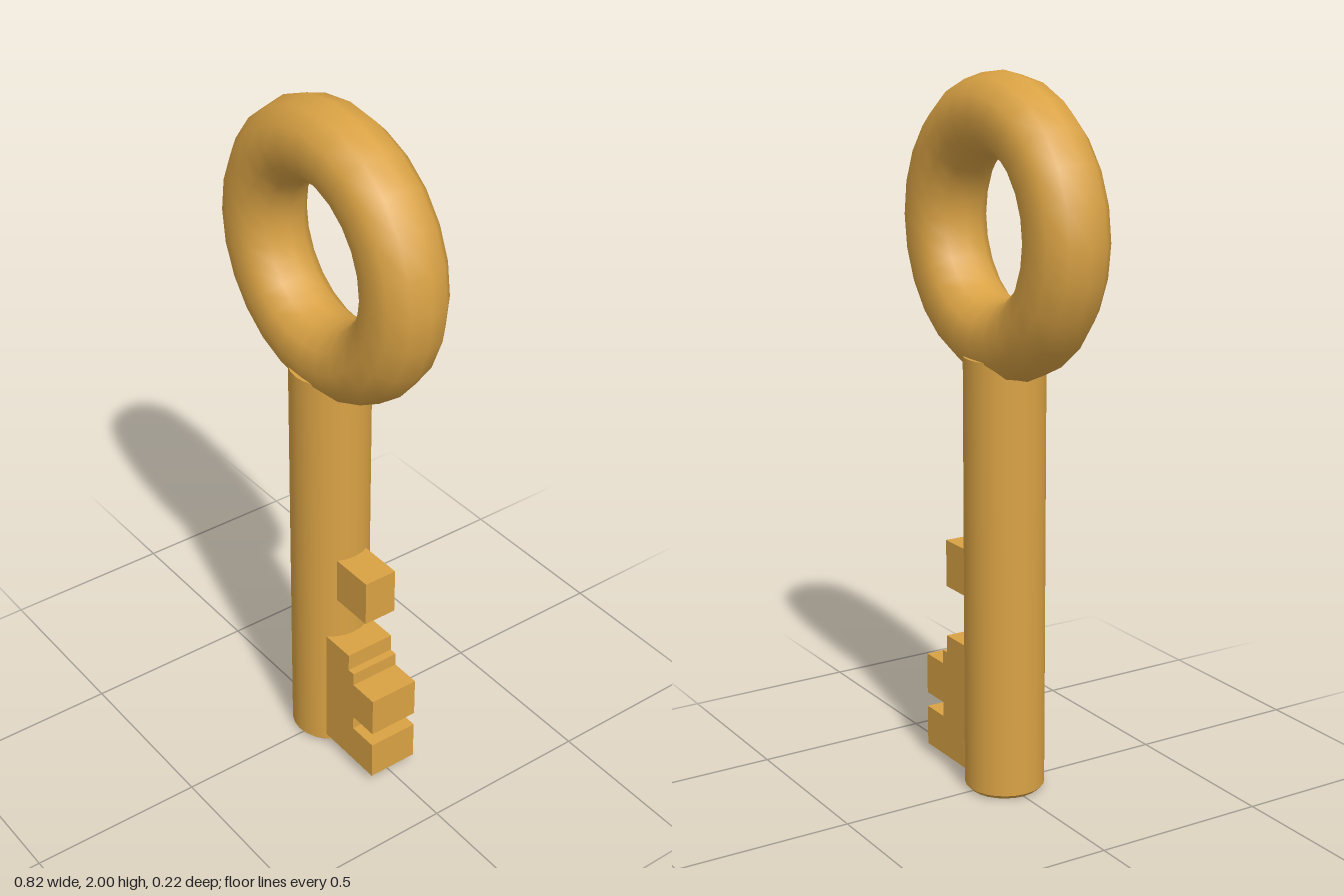
import * as THREE from 'three';

export function createModel() {
  const group = new THREE.Group();
  const brass = new THREE.MeshStandardMaterial({ color: 0xd9a244 });
  brass.name = 'brass';

  const add = (name, geometry, x = 0, y = 0, z = 0) => {
    const mesh = new THREE.Mesh(geometry, brass);
    mesh.name = name;
    mesh.position.set(x, y, z);
    group.add(mesh);
  };

  const r = 0.1125; // shared radius of ring tube and shaft
  const shaftX = -0.007;

  // Ring handle
  add('bow', new THREE.TorusGeometry(0.3, r, 12, 24), 0, 1.587, 0);

  // Round shaft with a small bevel at the tip; separate end caps keep the rims crisp
  const height = 1.245, bevel = 0.012;
  add('shaft', new THREE.CylinderGeometry(r, r, height - bevel, 24), shaftX, (height + bevel) / 2, 0);
  add('shaftTip', new THREE.CylinderGeometry(r, r - bevel, bevel, 24), shaftX, bevel / 2, 0);

  // Notched bit near the tip
  const profile = [
    [0, 0.03], [0.295, 0.03], [0.295, 0.147], [0.205, 0.147], [0.205, 0.19], [0.295, 0.19],
    [0.295, 0.31], [0.205, 0.31], [0.205, 0.35], [0.182, 0.35], [0.182, 0.402], [0, 0.402],
  ];
  const shape = new THREE.Shape(profile.map(([x, y]) => new THREE.Vector2(x, y)));
  add('bit', new THREE.ExtrudeGeometry(shape, { depth: 0.15, bevelEnabled: false }), 0, 0, -0.075);

  // Single tooth further up the shaft
  add('upperTooth', new THREE.BoxGeometry(0.225, 0.138, 0.1), 0.1125, 0.602, 0);

  return group;
}
